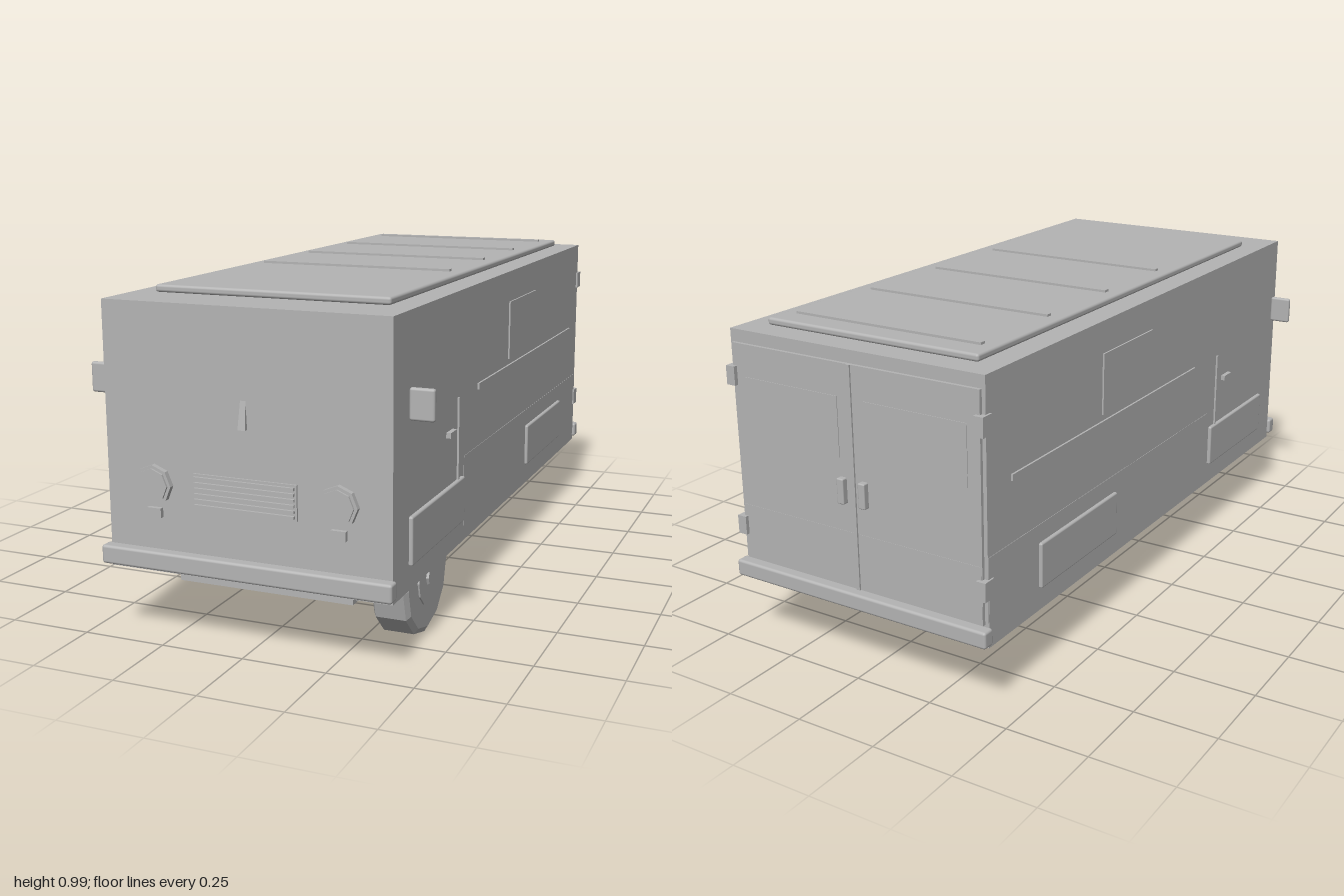
import * as THREE from 'three';
import { RoundedBoxGeometry } from 'three/addons/geometries/RoundedBoxGeometry.js';

export function createModel() {
  const model = new THREE.Group();
  model.name = 'van';
  const grey = new THREE.MeshStandardMaterial({ color: 0xb4b4b4 });
  grey.name = 'plain grey';

  const add = (name, geometry, parent = model) => {
    const mesh = new THREE.Mesh(geometry, grey);
    mesh.name = name;
    parent.add(mesh);
    return mesh;
  };
  // Box given by its [min, max] range on each axis; bevel rounds the edges
  const box = (name, [x0, x1], [y0, y1], [z0, z1], bevel = 0) => {
    const size = [x1 - x0, y1 - y0, z1 - z0];
    const g = bevel ? new RoundedBoxGeometry(...size, 2, bevel) : new THREE.BoxGeometry(...size);
    return add(name, g.translate((x0 + x1) / 2, (y0 + y1) / 2, (z0 + z1) / 2));
  };
  // The same box on both sides of the van
  const pair = (name, [x0, x1], y, z, bevel) => {
    box(name + 'Left', [x0, x1], y, z, bevel);
    box(name + 'Right', [-x1, -x0], y, z, bevel);
  };

  // Body shell
  box('body', [-0.426, 0.426], [0.203, 0.962], [-0.965, 0.962]);

  // Roof panel and ribs
  box('roofPanel', [-0.355, 0.355], [0.963, 0.985], [-0.89, 0.8], 0.008);
  for (const z of [0.2, -0.135, -0.47, -0.805])
    box('roofRib', [-0.313, 0.313], [0.98, 0.992], [z - 0.01, z + 0.01]);

  // Bumpers
  box('frontBumper', [-0.437, 0.437], [0.218, 0.272], [0.96, 1], 0.008);
  box('rearBumper', [-0.437, 0.437], [0.215, 0.265], [-1, -0.96], 0.008);

  // Side details
  pair('sideWindow', [0.424, 0.431], [0.68, 0.865], [-0.36, -0.05]);
  pair('sideTrim', [0.424, 0.432], [0.642, 0.661], [-0.85, 0.27]);
  pair('lowerPanel', [0.424, 0.4272], [0.235, 0.465], [-0.962, 0.39]);
  pair('doorSeam', [0.424, 0.432], [0.4, 0.655], [0.447, 0.455]);
  pair('doorHandle', [0.424, 0.44], [0.556, 0.572], [0.497, 0.552]);
  pair('frontFender', [0.42, 0.437], [0.272, 0.41], [0.407, 0.847], 0.006);
  pair('rearFender', [0.42, 0.437], [0.272, 0.41], [-0.713, -0.272], 0.006);
  pair('mirror', [0.443, 0.513], [0.684, 0.771], [0.88, 0.898], 0.007);

  // Headlights and indicators
  for (const side of [-1, 1]) {
    const lamp = new THREE.Group();
    lamp.name = side > 0 ? 'headlightLeft' : 'headlightRight';
    lamp.position.set(side * 0.277, 0.457, 0.962);
    model.add(lamp);
    [['ring', 0.057, 0.016], ['lens', 0.048, 0.022]].forEach(([name, r, depth]) => {
      const g = new THREE.CylinderGeometry(r, r, depth, 8).toNonIndexed();
      g.rotateX(Math.PI / 2).translate(0, 0, depth / 2).computeVertexNormals();
      add(name, g, lamp);
    });
  }
  pair('indicator', [0.255, 0.299], [0.364, 0.391], [0.958, 0.975]);

  // Grille with slats
  box('grille', [-0.156, 0.156], [0.4, 0.5], [0.958, 0.968]);
  for (let i = 0; i < 6; i++) {
    const y = 0.411 + i * 0.0156;
    box('grilleSlat', [-0.15, 0.15], [y - 0.004, y + 0.004], [0.965, 0.976]);
  }

  // Nose ornament, tapering towards its top
  const nose = new THREE.BoxGeometry(0.022, 0.09, 0.02);
  const p = nose.attributes.position;
  for (let i = 0; i < p.count; i++)
    if (p.getY(i) > 0) { p.setX(i, p.getX(i) * 0.7); if (p.getZ(i) > 0) p.setZ(i, -0.005); }
  nose.translate(0, 0.68, 0.965).computeVertexNormals();
  add('noseOrnament', nose);

  // Rear doors
  pair('rearDoor', [0.006, 0.415], [0.27, 0.925], [-0.975, -0.96]);
  pair('rearWindow', [0.045, 0.375], [0.655, 0.83], [-0.977, -0.973]);
  pair('rearLowerPanel', [0.008, 0.413], [0.275, 0.44], [-0.976, -0.973]);
  box('rearSeam', [-0.006, 0.006], [0.27, 0.925], [-0.98, -0.96]);
  pair('rearHandle', [0.025, 0.048], [0.525, 0.6], [-0.993, -0.97], 0.004);
  for (const y of [0.83, 0.375])
    pair('hinge', [0.402, 0.432], [y - 0.028, y + 0.028], [-0.987, -0.945]);

  // Cross beams under the floor
  for (const z of [0.83, 0, -0.83])
    box('crossBeam', [-0.268, 0.268], [0.143, 0.21], [z - 0.028, z + 0.028]);

  // Single front wheel: faceted tyre, rim and hub turned about the x axis
  const wheel = new THREE.Group();
  wheel.name = 'frontWheel';
  wheel.position.set(0.348, 0.173, 0.63);
  model.add(wheel);
  const turned = (name, points, sides) => {
    const g = new THREE.LatheGeometry(points.map(([r, x]) => new THREE.Vector2(r, x)), sides).toNonIndexed();
    g.rotateZ(-Math.PI / 2).computeVertexNormals();
    add(name, g, wheel);
  };
  turned('tyre', [[0, -0.055], [0.155, -0.055], [0.172, -0.045], [0.172, 0.045], [0.155, 0.055], [0, 0.055]], 12);
  turned('rim', [[0, -0.06], [0.085, -0.06], [0.085, 0.06], [0, 0.06]], 12);
  turned('hub', [[0, -0.068], [0.03, -0.068], [0.03, 0.068], [0, 0.068]], 8);

  return model;
}
